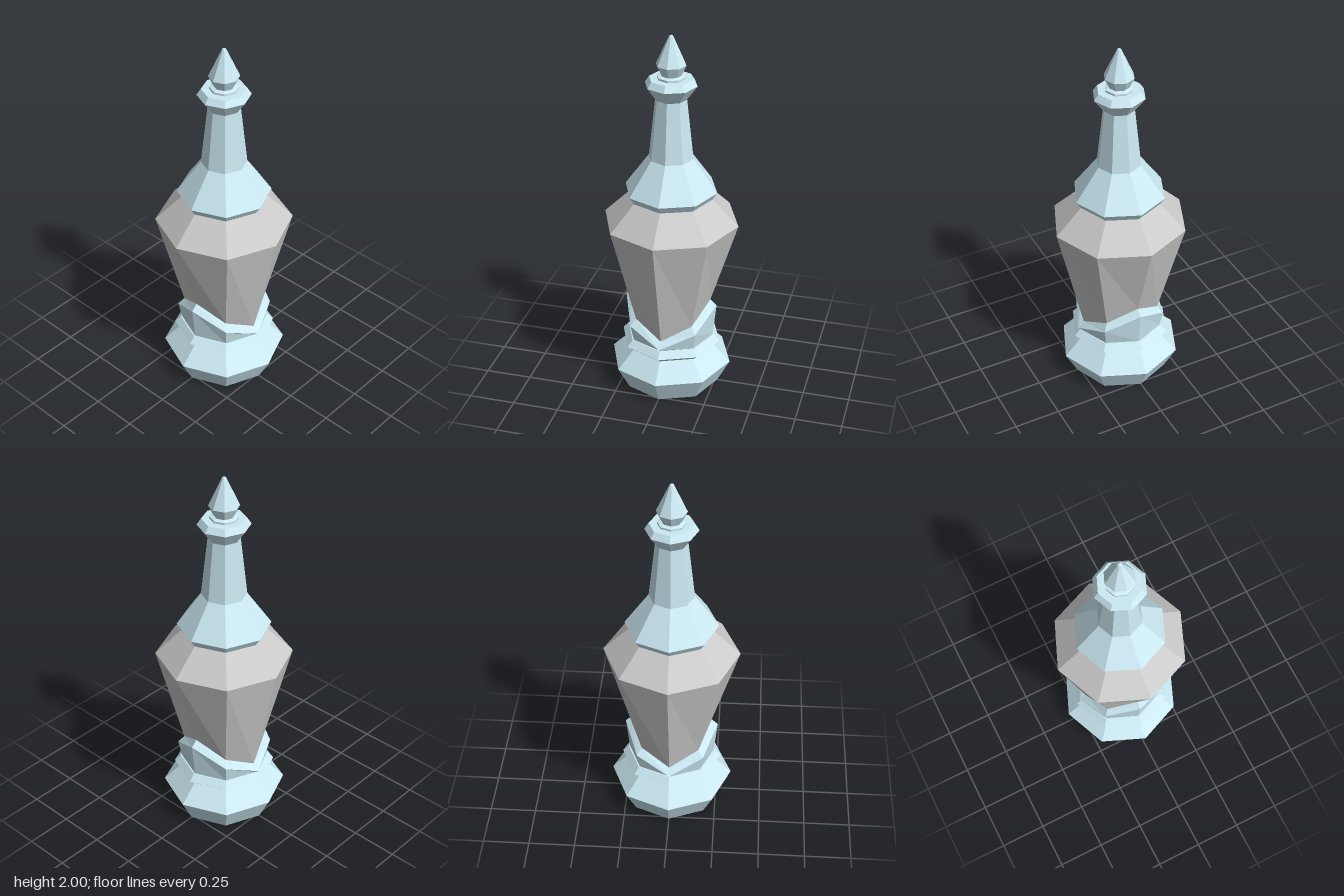
import * as THREE from 'three';

const SIDES = 8;

// Faceted eight-sided turned shape, profile listed from bottom to top as [radius, y]
function turned(name, profile, color, rule) {
  const geometry = new THREE.LatheGeometry(profile.map(([r, y]) => new THREE.Vector2(r, y)), SIDES);
  if (rule) {
    const p = geometry.attributes.position;
    for (let i = 0; i < p.count; i++) {
      const side = Math.floor(i / profile.length);
      p.setY(i, rule(p.getY(i), i % profile.length, side));
    }
    geometry.computeVertexNormals();
  }
  const mesh = new THREE.Mesh(geometry, new THREE.MeshStandardMaterial({
    color, flatShading: true, side: THREE.DoubleSide,
  }));
  mesh.name = name;
  return mesh;
}

export function createModel() {
  const group = new THREE.Group();
  group.name = 'bottle';
  const blue = 0xcceaf4, grey = 0xcccccc;

  // Rim heights: low at front and back, high at left and right
  const innerRim = [0.345, 0.425, 0.515, 0.425];
  const outerRim = [0.31, 0.388, 0.483, 0.388];

  // Flared foot with a thin ring on top
  group.add(turned('base', [
    [0, 0], [0.265, 0], [0.333, 0.133], [0.238, 0.23], [0.274, 0.26], [0.242, 0.295], [0.2, 0.295],
  ], blue));

  // Collar with a zigzag rim
  group.add(turned('collar', [[0.234, 0.295], [0.254, 0.4], [0.219, 0.43]], blue,
    (y, ring, side) => (ring === 0 ? y : (ring === 1 ? outerRim : innerRim)[side % 4])));

  // Tapered body whose lower edge follows the rim
  group.add(turned('body', [[0.219, 0.43], [0.363, 0.98], [0.222, 1.12]], grey,
    (y, ring, side) => (ring === 0 ? innerRim[side % 4] : y)));

  // Shoulder, neck and lip
  group.add(turned('neck', [
    [0.222, 1.12], [0.247, 1.16], [0.119, 1.34], [0.083, 1.665],
    [0.137, 1.74], [0.115, 1.773], [0, 1.773],
  ], blue));

  // Small disc under the stopper
  group.add(turned('stopperDisc', [[0.074, 1.773], [0.074, 1.784], [0.052, 1.79], [0, 1.79]], blue));

  // Pointed stopper
  group.add(turned('stopper', [[0, 1.788], [0.052, 1.788], [0.079, 1.845], [0.01, 1.996], [0, 2]], blue));

  return group;
}
